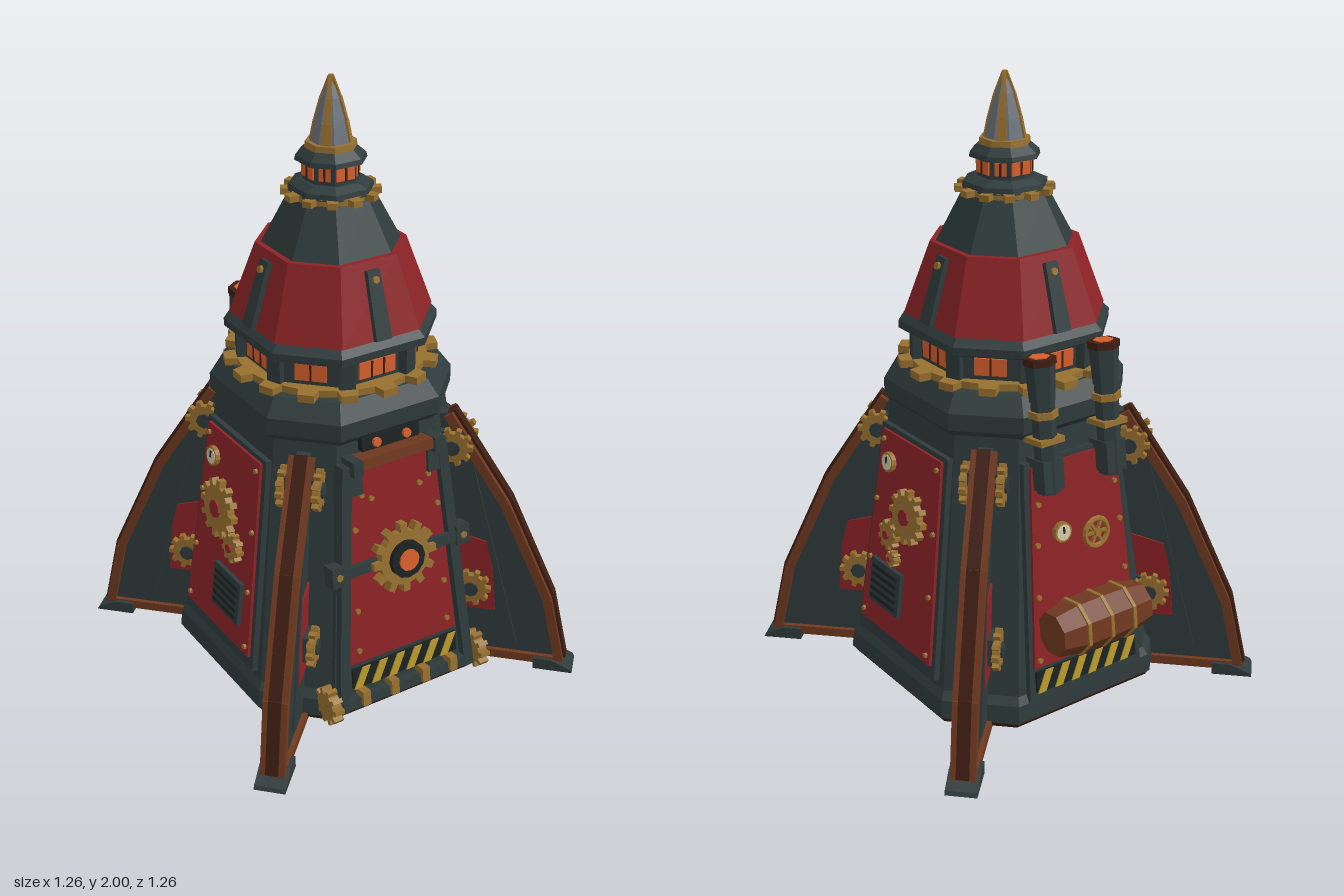
import * as THREE from 'three';

const mat = (name, color) => { const m = new THREE.MeshStandardMaterial({ color }); m.name = name; return m; };
const IRON = mat('dark iron', 0x2f3b3c), RED = mat('red paint', 0x8c2326), BRASS = mat('brass', 0x98702f),
  COPPER = mat('copper brown', 0x70391f), GLOW = mat('orange glass', 0xd9602c), YELLOW = mat('hazard yellow', 0xb89a2a),
  STEEL = mat('steel', 0x6d747c), CREAM = mat('dial cream', 0xcfc6a4), BLACK = mat('soot black', 0x1b2122), BROWN = mat('dark brown', 0x3f1e13);

// Adds a faceted mesh to a parent
function add(parent, name, geo, material, x = 0, y = 0, z = 0) {
  const g = geo.index ? geo.toNonIndexed() : geo;
  g.computeVertexNormals();
  const m = new THREE.Mesh(g, material);
  m.name = name;
  m.position.set(x, y, z);
  parent.add(m);
  return m;
}
const group = (parent, name) => { const g = new THREE.Group(); g.name = name; parent.add(g); return g; };
const box = (p, name, w, h, d, m, x, y, z) => add(p, name, new THREE.BoxGeometry(w, h, d), m, x, y, z);
// Disc or rod facing +z
const disc = (p, name, r, d, m, x, y, z, n = 12) =>
  add(p, name, new THREE.CylinderGeometry(r, r, d, n).rotateX(Math.PI / 2), m, x, y, z);
const prism = (pts, depth) => new THREE.ExtrudeGeometry(new THREE.Shape(pts.map(p => new THREE.Vector2(...p))), { depth, bevelEnabled: false });
const trapezoid = (p, name, w0, w1, y0, y1, d, m, z = 0) =>
  add(p, name, prism([[-w0, y0], [w0, y0], [w1, y1], [-w1, y1]], d), m, 0, 0, z);

// Toothed wheel in the xy plane, centred in depth
function gearGeo(r, root, teeth, depth, hole = 0) {
  const s = new THREE.Shape(), step = Math.PI * 2 / teeth;
  for (let i = 0; i < teeth; i++)
    [[-0.5, root], [-0.27, root], [-0.19, r], [0.19, r], [0.27, root]].forEach(([t, q], j) => {
      const a = (i + t) * step;
      s[i + j ? 'lineTo' : 'moveTo'](Math.cos(a) * q, Math.sin(a) * q);
    });
  if (hole) s.holes.push(new THREE.Path().absarc(0, 0, hole, 0, Math.PI * 2, true));
  return new THREE.ExtrudeGeometry(s, { depth, bevelEnabled: false, curveSegments: 6 }).translate(0, 0, -depth / 2);
}
const gear = (p, name, r, teeth, d, x, y, z, m = BRASS) => add(p, name, gearGeo(r, r * 0.77, teeth, d), m, x, y, z);

// Eight-sided loft: rows of [y, half width, half length of the flat]
function loft(rows) {
  const ring = ([y, h, c]) => [[c, h], [h, c], [h, -c], [c, -h], [-c, -h], [-h, -c], [-h, c], [-c, h]].map(([x, z]) => [x, y, z]);
  const rings = rows.map(ring), out = [], top = rings.length - 1;
  for (let i = 0; i < 8; i++) {
    const j = (i + 1) % 8;
    for (let k = 0; k < top; k++) {
      const a = rings[k][i], b = rings[k][j], c = rings[k + 1][j], d = rings[k + 1][i];
      out.push(...a, ...b, ...c, ...a, ...c, ...d);
    }
    out.push(0, rows[0][0], 0, ...rings[0][j], ...rings[0][i]);
    out.push(0, rows[top][0], 0, ...rings[top][i], ...rings[top][j]);
  }
  const g = new THREE.BufferGeometry();
  g.setAttribute('position', new THREE.Float32BufferAttribute(out, 3));
  return g;
}

// Bar between two points of the xy plane; w is its width in z
function beam(p, name, [x0, y0], [x1, y1], w, h, m, z = 0) {
  const b = box(p, name, Math.hypot(x1 - x0, y1 - y0), h, w, m, (x0 + x1) / 2, (y0 + y1) / 2, z);
  b.rotation.z = Math.atan2(y1 - y0, x1 - x0);
}

const TILT = Math.atan2(0.12, 0.95);
// Frame lying on one sloping wall: x across, y up the wall, z outward
function wall(parent, name, yaw) {
  const turn = group(parent, name), face = group(turn, name + 'Face');
  turn.rotation.y = yaw;
  face.position.z = 0.44;
  face.rotation.x = -TILT;
  return face;
}
function rivets(p, pts, z) {
  for (const [x, y] of pts) for (const s of [-1, 1]) disc(p, 'rivet', 0.009, 0.012, BRASS, s * x, y, z, 6);
}
function hazard(p, y0, y1, w, z) {
  box(p, 'hazardPlate', w * 2, y1 - y0, 0.01, BLACK, 0, (y0 + y1) / 2, z);
  const n = 6, s = w * 2 / n, h = y1 - y0;
  for (let i = 0; i < n; i++)
    add(p, 'hazardStripe', prism([[0, 0], [s * 0.45, 0], [s * 0.98, h], [s * 0.53, h]], 0.004), YELLOW, -w + i * s, y0, z + 0.005);
}
function dial(p, x, y, z) {
  disc(p, 'dialRim', 0.033, 0.02, BRASS, x, y, z);
  disc(p, 'dialFace', 0.026, 0.024, CREAM, x, y, z);
  box(p, 'dialNeedle', 0.006, 0.022, 0.004, BLACK, x, y + 0.008, z + 0.013);
}

function buildTower(root) {
  const t = group(root, 'tower');
  add(t, 'underside', loft([[0.02, 0.43, 0.265], [0.04, 0.44, 0.27]]), BROWN);
  add(t, 'plinth', loft([[0.04, 0.445, 0.27], [0.1, 0.44, 0.265], [0.125, 0.424, 0.255]]), IRON);
  add(t, 'body', loft([[0.1, 0.427, 0.255], [0.97, 0.318, 0.18]]), IRON);
  add(t, 'collar', loft([[0.95, 0.32, 0.175], [0.975, 0.343, 0.18], [1.03, 0.343, 0.18], [1.085, 0.305, 0.16]]), IRON);
  add(t, 'collarGear', gearGeo(0.343, 0.305, 16, 0.025).rotateX(Math.PI / 2), BRASS, 0, 1.095, 0);
  add(t, 'windowCore', loft([[1.1, 0.262, 0.12], [1.2, 0.262, 0.12]]), IRON);
  add(t, 'windowRoofRing', loft([[1.19, 0.285, 0.14], [1.2, 0.302, 0.15], [1.225, 0.302, 0.15], [1.25, 0.28, 0.14]]), IRON);
  add(t, 'redCone', loft([[1.25, 0.288, 0.14], [1.48, 0.213, 0.1]]), RED);
  add(t, 'upperCone', loft([[1.47, 0.2, 0.095], [1.63, 0.122, 0.06]]), IRON);
  add(t, 'upperGear', gearGeo(0.155, 0.125, 12, 0.02).rotateX(Math.PI / 2), BRASS, 0, 1.64, 0);
  add(t, 'lanternBase', loft([[1.645, 0.122, 0.055], [1.665, 0.118, 0.055], [1.68, 0.09, 0.04]]), IRON);
  add(t, 'lanternCore', loft([[1.67, 0.08, 0.035], [1.75, 0.08, 0.035]]), IRON);
  add(t, 'lanternBrim', loft([[1.74, 0.102, 0.045], [1.755, 0.098, 0.045], [1.78, 0.072, 0.033]]), IRON);
  add(t, 'spikeRing', loft([[1.775, 0.075, 0.032], [1.797, 0.072, 0.032]]), BRASS);
  const prof = [[1.79, 0.06], [1.86, 0.046], [1.93, 0.027], [1.995, 0.002]];
  add(t, 'spike', loft(prof.map(([y, h]) => [y, h, h * 0.42])), STEEL);
  for (let k = 0; k < 8; k++) {
    const side = group(t, 'octagonSide');
    side.rotation.y = k * Math.PI / 4;
    const diag = k % 2, d = diag ? 0.27 : 0.262, w = diag ? 0.05 : 0.065;
    box(side, 'window', w * 2, 0.055, 0.008, GLOW, 0, 1.15, d + 0.003);
    for (const x of diag ? [0] : [-0.022, 0.022]) box(side, 'windowBar', 0.006, 0.055, 0.006, BROWN, x, 1.15, d + 0.007);
    box(side, 'lanternWindow', diag ? 0.035 : 0.065, 0.04, 0.008, GLOW, 0, 1.713, 0.081);
    box(side, 'lanternBar', 0.006, 0.04, 0.006, BROWN, 0, 1.713, 0.085);
    // Corner posts of the window band
    const post = group(t, 'windowPost');
    post.rotation.y = Math.PI / 8 + k * Math.PI / 4;
    box(post, 'post', 0.05, 0.09, 0.035, IRON, 0, 1.15, 0.285);
    if (diag) {
      for (let i = 0; i < 3; i++) { // brass ribs climbing the spike
        const [[y0, h0], [y1, h1]] = [prof[i], prof[i + 1]], tilt = Math.atan2(h0 - h1, y1 - y0);
        const rib = box(side, 'spikeRib', 0.03 - i * 0.009, Math.hypot(y1 - y0, h0 - h1), 0.01, BRASS, 0, (y0 + y1) / 2, (h0 + h1) / 2 + 0.001);
        rib.rotation.x = -tilt;
      }
    } else { // dark rib on the red cone
      const r = group(side, 'coneRib');
      r.position.set(0, 1.25, 0.288);
      r.rotation.x = -Math.atan2(0.075, 0.23);
      trapezoid(r, 'ribBar', 0.028, 0.022, 0, 0.215, 0.02, IRON, -0.002);
      disc(r, 'ribStud', 0.012, 0.014, BRASS, 0, 0.185, 0.021, 6);
    }
  }
}

function buildDoor(root) {
  const f = wall(root, 'door', 0);
  trapezoid(f, 'doorFrame', 0.27, 0.19, 0.06, 0.9, 0.018, IRON);
  trapezoid(f, 'doorPanel', 0.205, 0.155, 0.215, 0.87, 0.03, RED);
  for (const s of [-1, 1]) {
    beam(f, 'doorPost', [s * 0.245, 0.06], [s * 0.175, 0.9], 0.045, 0.035, IRON, 0.022);
    box(f, 'latchArm', 0.15, 0.035, 0.02, IRON, s * 0.165, 0.55, 0.042);
    box(f, 'latchBlock', 0.05, 0.065, 0.05, IRON, s * 0.235, 0.55, 0.03);
    box(f, 'cornerBracket', 0.045, 0.075, 0.02, IRON, s * 0.145, 0.835, 0.032);
    box(f, 'canopyEnd', 0.035, 0.05, 0.07, IRON, s * 0.15, 0.895, 0.035);
    disc(f, 'lamp', 0.015, 0.012, GLOW, s * 0.055, 0.948, 0.03, 8);
    for (const x of [0.06, 0.17]) box(f, 'stepBracket', 0.028, 0.05, 0.05, BRASS, s * x, 0.1, 0.038);
    add(f, 'stepGear', gearGeo(0.063, 0.046, 10, 0.035).rotateY(Math.PI / 2), BRASS, s * 0.285, 0.1, 0.02);
    disc(f, 'latchPin', 0.012, 0.06, BRASS, s * 0.235, 0.55, 0.03, 6);
  }
  box(f, 'lampPlate', 0.21, 0.045, 0.025, BLACK, 0, 0.948, 0.012);
  box(f, 'canopy', 0.27, 0.035, 0.06, COPPER, 0, 0.9, 0.03);
  box(f, 'step', 0.5, 0.035, 0.05, IRON, 0, 0.085, 0.024);
  hazard(f, 0.13, 0.2, 0.2, 0.03);
  gear(f, 'doorGear', 0.118, 12, 0.03, 0, 0.55, 0.055);
  disc(f, 'doorHub', 0.062, 0.05, BLACK, 0, 0.55, 0.063);
  disc(f, 'doorLens', 0.036, 0.058, GLOW, 0, 0.55, 0.065);
  rivets(f, [[0.17, 0.26], [0.165, 0.4], [0.155, 0.68], [0.09, 0.77], [0.125, 0.79]], 0.033);
}

function buildSide(root, name, yaw, o) {
  const f = wall(root, name, yaw);
  trapezoid(f, 'panelFrame', 0.225, 0.185, 0.15, 0.885, 0.02, IRON);
  trapezoid(f, 'panel', 0.205, 0.165, 0.195, 0.87, 0.03, RED);
  rivets(f, [[0.185, 0.225], [0.172, 0.42], [0.162, 0.63], [0.15, 0.84]], 0.033);
  dial(f, o.dial, 0.775, 0.036);
  for (const [x, y, r, n] of o.gears) {
    gear(f, 'panelGear', r, n, 0.025, x, y, 0.05);
    disc(f, 'gearHub', r * 0.3, 0.04, RED, x, y, 0.05, 8);
    disc(f, 'gearAxle', r * 0.2, 0.03, BRASS, x, y, 0.03, 6);
  }
  box(f, 'vent', 0.17, 0.15, 0.018, IRON, o.vent, 0.357, 0.036);
  for (let i = 0; i < 5; i++) box(f, 'ventSlat', 0.14, 0.012, 0.008, BLACK, o.vent, 0.305 + i * 0.026, 0.047);
}

function buildBack(root) {
  const f = wall(root, 'back', Math.PI);
  trapezoid(f, 'panelFrame', 0.225, 0.185, 0.1, 0.885, 0.02, IRON);
  trapezoid(f, 'panel', 0.205, 0.165, 0.215, 0.87, 0.03, RED);
  rivets(f, [[0.185, 0.24], [0.172, 0.45], [0.162, 0.62], [0.15, 0.75]], 0.033);
  hazard(f, 0.13, 0.2, 0.2, 0.024);
  dial(f, -0.07, 0.64, 0.036);
  add(f, 'valveWheel', new THREE.TorusGeometry(0.045, 0.009, 6, 14), BRASS, 0.05, 0.61, 0.055);
  for (let i = 0; i < 3; i++) box(f, 'valveSpoke', 0.088, 0.009, 0.009, BRASS, 0.05, 0.61, 0.055).rotation.z = i * Math.PI / 3;
  disc(f, 'valveStem', 0.013, 0.05, BRASS, 0.05, 0.61, 0.042, 6);
  // Barrel on its cradle
  const b = group(f, 'barrel');
  b.position.set(0, 0.345, 0.09);
  const stave = [[0, -0.175], [0.072, -0.175], [0.088, -0.09], [0.09, 0], [0.088, 0.09], [0.072, 0.175], [0, 0.175]];
  add(b, 'staves', new THREE.LatheGeometry(stave.map(p => new THREE.Vector2(...p)), 8, Math.PI / 8).rotateZ(Math.PI / 2), COPPER);
  for (const x of [-0.09, 0, 0.09]) add(b, 'strap', new THREE.CylinderGeometry(0.094, 0.094, 0.012, 8, 1, false, Math.PI / 8).rotateZ(Math.PI / 2), BRASS, x);
  for (const s of [-1, 1]) {
    box(f, 'barrelCradle', 0.03, 0.1, 0.06, IRON, s * 0.12, 0.31, 0.04);
    // Chimney pipe
    const c = group(f, 'chimney');
    c.position.set(s * 0.122, 0, 0.055);
    const tube = (name, r0, r1, y0, y1, m) => add(c, name, new THREE.CylinderGeometry(r1, r0, y1 - y0, 6), m, 0, (y0 + y1) / 2, 0);
    tube('pipe', 0.037, 0.037, 0.79, 1.1, IRON);
    tube('pipeRing', 0.046, 0.046, 1.03, 1.052, BRASS);
    tube('pipeCap', 0.04, 0.048, 1.08, 1.21, IRON);
    tube('pipeLip', 0.051, 0.051, 1.195, 1.217, BROWN);
    tube('pipeGlow', 0.032, 0.032, 1.21, 1.22, GLOW);
    box(c, 'pipeFoot', 0.075, 0.1, 0.09, IRON, 0, 0.85, -0.012);
    box(c, 'pipeClamp', 0.09, 0.018, 0.09, BRASS, 0, 0.96, -0.005);
  }
}

function buildFin(root, yaw) {
  const f = group(root, 'fin');
  f.rotation.y = yaw;
  const edge = [[0.795, 0.03], [0.742, 0.27], [0.585, 0.62], [0.39, 0.925]];
  add(f, 'finPlate', prism([[0.4, 0.03], ...edge, [0.33, 0.92]], 0.044).translate(0, 0, -0.022), IRON);
  for (let i = 0; i < 3; i++) {
    beam(f, 'edgeRail', edge[i], edge[i + 1], 0.078, 0.03, COPPER);
    beam(f, 'edgeRidge', edge[i].map(v => v + 0.007), edge[i + 1].map(v => v + 0.007), 0.04, 0.03, BROWN);
  }
  beam(f, 'bottomRail', [0.42, 0.03], [0.78, 0.03], 0.075, 0.03, COPPER);
  add(f, 'foot', prism([[0.71, 0], [0.842, 0], [0.835, 0.012], [0.77, 0.04], [0.71, 0.04]], 0.1).translate(0, 0, -0.05), IRON);
  for (const s of [-1, 1]) {
    add(f, 'redPatch', prism([[0.4, 0.2], [0.57, 0.2], [0.545, 0.46], [0.4, 0.5]], 0.008), RED, 0, 0, s * 0.024 - 0.004);
    beam(f, 'finRib', [0.64, 0.08], [0.46, 0.78], 0.012, 0.018, IRON, s * 0.024);
    for (const [r, y] of [[0.49, 0.3], [0.41, 0.825]]) {
      box(f, 'finBracket', 0.1, 0.09, 0.03, IRON, r - 0.02, y, s * 0.032);
      gear(f, 'finGear', 0.066, 10, 0.022, r, y, s * 0.056);
      disc(f, 'finGearHub', 0.026, 0.036, IRON, r, y, s * 0.056, 8);
    }
  }
}

export function createModel() {
  const root = new THREE.Group();
  root.name = 'rocketTower';
  buildTower(root);
  buildDoor(root);
  buildSide(root, 'rightSide', Math.PI / 2, { dial: -0.105, vent: -0.06, gears: [[0.043, 0.645, 0.09, 12], [-0.047, 0.55, 0.05, 9], [-0.015, 0.478, 0.027, 8]] });
  buildSide(root, 'leftSide', -Math.PI / 2, { dial: -0.105, vent: 0.06, gears: [[-0.02, 0.63, 0.1, 12], [0.085, 0.54, 0.05, 9]] });
  buildBack(root);
  for (let k = 0; k < 4; k++) buildFin(root, Math.PI / 4 + k * Math.PI / 2);
  return root;
}
